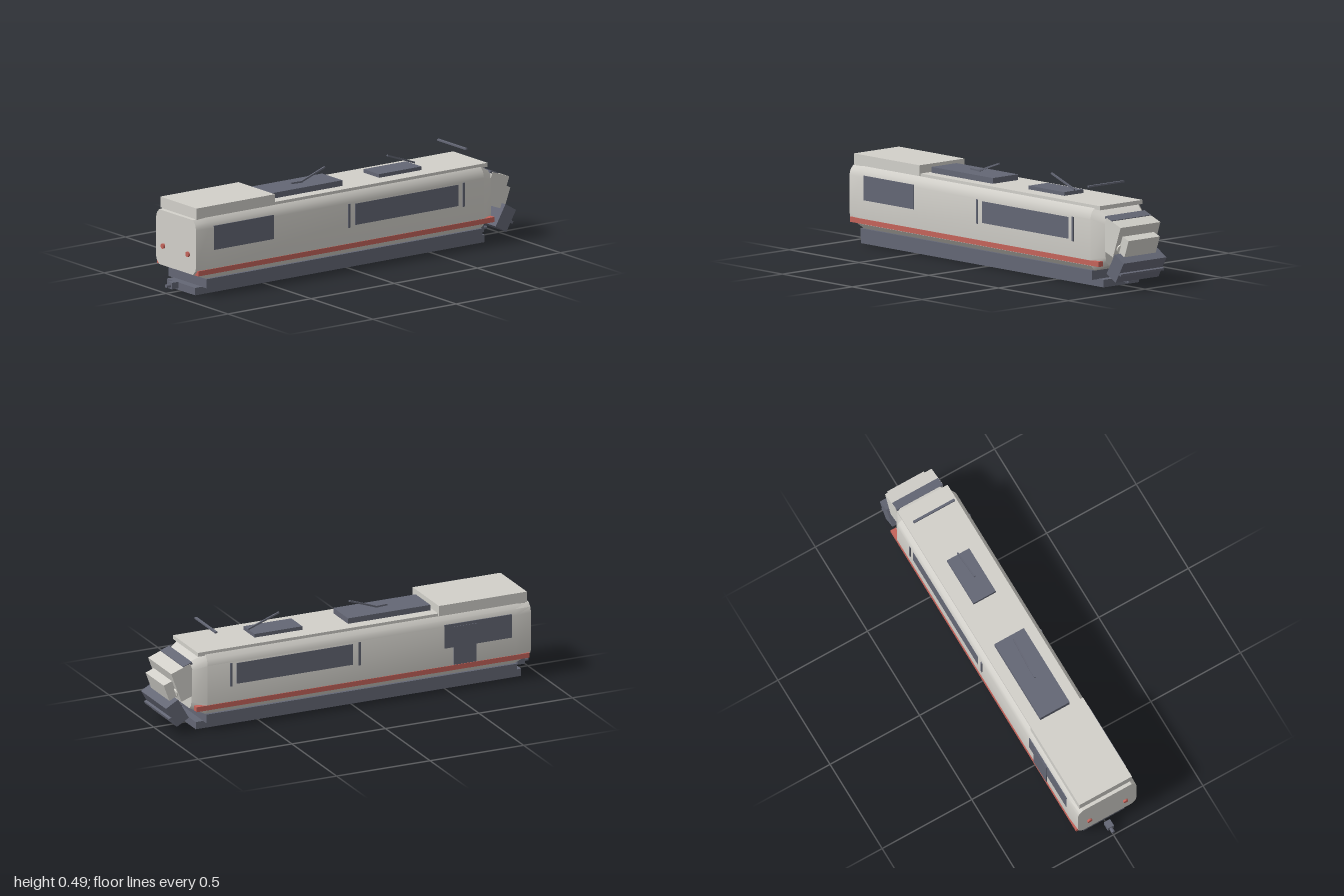
import * as THREE from 'three';
import { toCreasedNormals } from 'three/addons/utils/BufferGeometryUtils.js';

const mat = (name, color) => {
  const m = new THREE.MeshStandardMaterial({ color });
  m.name = name;
  return m;
};

// Loft of one half-profile [z, y] through stations [x, widthScale, bottom, top]
function loft(profile, stations) {
  const ring = [...profile, ...profile.map(([z, y]) => [-z, y]).reverse()];
  const n = ring.length, y0 = profile[0][1], y1 = profile[profile.length - 1][1];
  const pos = [], idx = [];
  for (const [x, w, lo, hi] of stations)
    for (const [z, y] of ring) pos.push(x, lo + ((y - y0) / (y1 - y0)) * (hi - lo), z * w);
  for (let i = 0; i < stations.length - 1; i++)
    for (let j = 0; j < n; j++) {
      const a = i * n + j, b = i * n + ((j + 1) % n);
      idx.push(a, a + n, b + n, a, b + n, b);
    }
  const e = (stations.length - 1) * n;
  for (let j = 1; j < n - 1; j++) idx.push(0, j, j + 1, e, e + j + 1, e + j);
  const g = new THREE.BufferGeometry();
  g.setAttribute('position', new THREE.Float32BufferAttribute(pos, 3));
  g.setIndex(idx);
  return toCreasedNormals(g, 0.5);
}

export function createModel() {
  const model = new THREE.Group();
  model.name = 'railcar';
  const shell = mat('pale grey', 0xd2d0ca);
  const dark = mat('slate', 0x646775);
  const red = mat('red', 0xc4635a);
  const white = mat('lamp white', 0xf2f0e8);

  const add = (name, geo, m, x = 0, y = 0, z = 0, rz = 0) => {
    const mesh = new THREE.Mesh(geo, m);
    mesh.name = name;
    mesh.position.set(x, y, z);
    mesh.rotation.z = rz;
    model.add(mesh);
    return mesh;
  };
  // Box given by its limits in x and y, and in z by limits or a half width
  const box = (name, m, x0, x1, y0, y1, z0, z1) => {
    if (z1 === undefined) { z1 = z0; z0 = -z0; }
    return add(name, new THREE.BoxGeometry(x1 - x0, y1 - y0, z1 - z0), m,
      (x0 + x1) / 2, (y0 + y1) / 2, (z0 + z1) / 2);
  };
  // Box centred at x, y and tilted about z
  const tilted = (name, m, x, y, w, h, d, rz) =>
    add(name, new THREE.BoxGeometry(w, h, d), m, x, y, 0, rz);
  // Rod between two points in the middle plane
  const rod = (name, x0, y0, x1, y1) =>
    tilted(name, dark, (x0 + x1) / 2, (y0 + y1) / 2, Math.hypot(x1 - x0, y1 - y0), 0.008, 0.008,
      Math.atan2(y1 - y0, x1 - x0));

  // Body shell with tapered nose
  const profile = [[0.138, 0.08], [0.16, 0.105], [0.165, 0.135], [0.165, 0.335], [0.157, 0.365], [0.138, 0.387]];
  add('body', loft(profile, [
    [-0.94, 0.985, 0.11, 0.383],
    [-0.86, 1, 0.08, 0.387],
    [0.79, 1, 0.08, 0.387],
    [0.86, 0.78, 0.11, 0.35],
  ]), shell);

  // Roof and its equipment
  box('roofPanel', shell, -0.92, 0.83, 0.38, 0.4, 0.139);
  box('roofUnit', shell, -0.925, -0.455, 0.388, 0.441, 0.147);
  box('roofEquipmentRear', dark, -0.44, 0, 0.398, 0.428, 0.082);
  box('roofEquipmentFront', dark, 0.235, 0.49, 0.398, 0.418, 0.062);
  rod('rearArmLower', -0.248, 0.434, -0.18, 0.432);
  rod('rearArm', -0.2, 0.428, -0.045, 0.484);
  rod('frontArm', 0.33, 0.484, 0.495, 0.424);
  box('contactBar', dark, 0.715, 0.727, 0.476, 0.484, 0.115);

  // Underframe
  box('underframe', dark, -0.87, 0.79, 0.036, 0.082, 0.154);
  box('lowerFrame', dark, -0.91, 0.83, 0, 0.037, 0.115);

  // Stripes, windows and door rails on both sides
  for (const s of [1, -1]) {
    const side = (name, m, x0, x1, y0, y1, zIn, zOut) =>
      box(name, m, x0, x1, y0, y1, Math.min(s * zIn, s * zOut), Math.max(s * zIn, s * zOut));
    side('stripe', red, -0.93, 0.85, 0.108, 0.133, 0.138, 0.1675);
    side('rearWindow', dark, -0.835, -0.475, 0.225, 0.345, 0.159, 0.1665);
    side('longWindow', dark, 0.015, 0.635, 0.22, 0.326, 0.16, 0.1665);
    for (const x of [-0.021, 0.665])
      side('doorRail', dark, x - 0.006, x + 0.006, 0.212, 0.331, 0.16, 0.169);
  }
  // Door panel on the back side only
  box('sideDoor', dark, -0.645, -0.525, 0.135, 0.33, -0.169, -0.16);

  // Nose: stepped, tilted blocks
  const lean = -0.35;
  tilted('noseBlock', shell, 0.89, 0.253, 0.108, 0.16, 0.26, lean);
  tilted('noseStep', shell, 0.951, 0.215, 0.062, 0.088, 0.204, lean);
  tilted('noseVisor', dark, 0.878, 0.34, 0.05, 0.012, 0.256, lean);
  tilted('bumper', dark, 0.94, 0.108, 0.074, 0.117, 0.28, -Math.PI / 6);
  tilted('bumperLip', dark, 0.967, 0.085, 0.034, 0.012, 0.28, -0.3);

  // Lamps: white at the nose, red at the tail
  for (const s of [1, -1]) {
    add('headlight', new THREE.CylinderGeometry(0.02, 0.02, 0.012, 20), white,
      0.929, 0.203, s * 0.1, lean - Math.PI / 2);
    add('tailLight', new THREE.CylinderGeometry(0.013, 0.013, 0.014, 16), red,
      -0.942, 0.207, s * 0.1, Math.PI / 2);
  }

  // Couplers at both ends
  for (const [x, s] of [[-0.957, -1], [0.882, 1]]) {
    box('couplerBlock', dark, x - 0.019, x + 0.019, 0.02, 0.052, 0.017);
    add('couplerPin', new THREE.CylinderGeometry(0.009, 0.009, 0.03, 12), dark,
      x + s * 0.028, 0.036, 0, Math.PI / 2);
  }
  return model;
}
